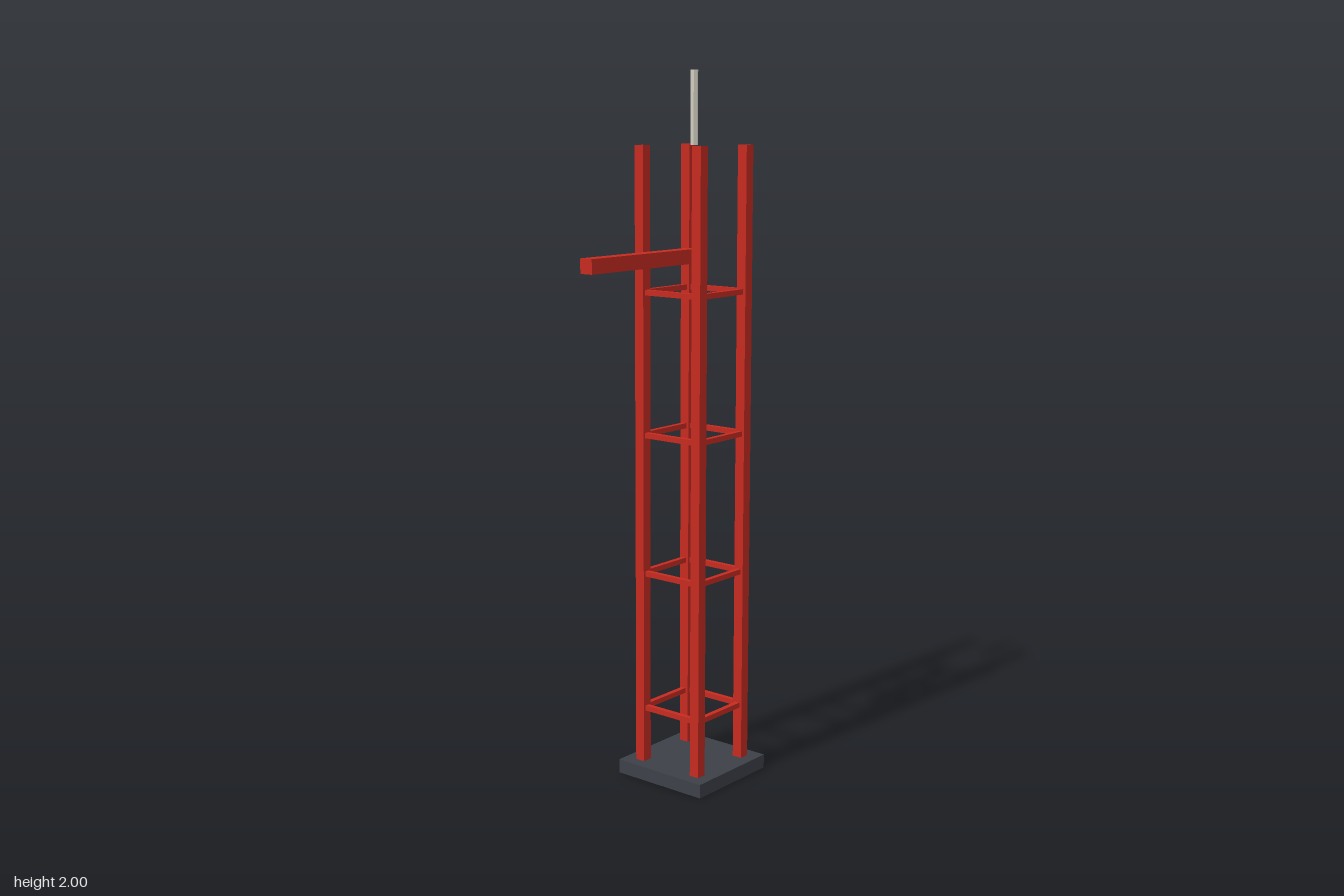
import * as THREE from 'three';

export function createModel() {
  const model = new THREE.Group();
  const paint = (color) => new THREE.MeshStandardMaterial({ color, flatShading: true });
  const red = paint(0xc62a20), dark = paint(0x3d4047), pale = paint(0xd0ccc0);

  const add = (parent, name, geometry, material, x, y, z) => {
    const mesh = new THREE.Mesh(geometry, material);
    mesh.name = name;
    mesh.position.set(x, y, z);
    parent.add(mesh);
  };
  const box = (w, h, d) => new THREE.BoxGeometry(w, h, d);

  // tower stands off-centre so the jib balances the width
  const tower = new THREE.Group();
  tower.name = 'tower';
  tower.position.x = 0.145;
  model.add(tower);

  add(tower, 'base', box(0.3, 0.04, 0.3), dark, 0, 0.02, 0);

  // corner posts, sunk into the base
  const half = 0.1;
  for (const sx of [-1, 1])
    for (const sz of [-1, 1])
      add(tower, 'cornerPost', box(0.03, 1.79, 0.03), red, sx * half, 0.905, sz * half);

  // square rings of braces
  for (const y of [0.2, 0.6, 1.0, 1.4])
    for (const s of [-1, 1]) {
      add(tower, 'crossBrace', box(0.2, 0.015, 0.015), red, 0, y, s * half);
      add(tower, 'sideBrace', box(0.015, 0.015, 0.2), red, s * half, y, 0);
    }

  // jib reaching out to one side from the tower axis
  add(tower, 'jib', box(0.44, 0.04, 0.04), red, -0.22, 1.5, 0);

  // hexagonal mast above the posts
  add(tower, 'mast', new THREE.CylinderGeometry(0.011, 0.011, 0.2, 6), pale, 0, 1.9, 0);

  return model;
}
